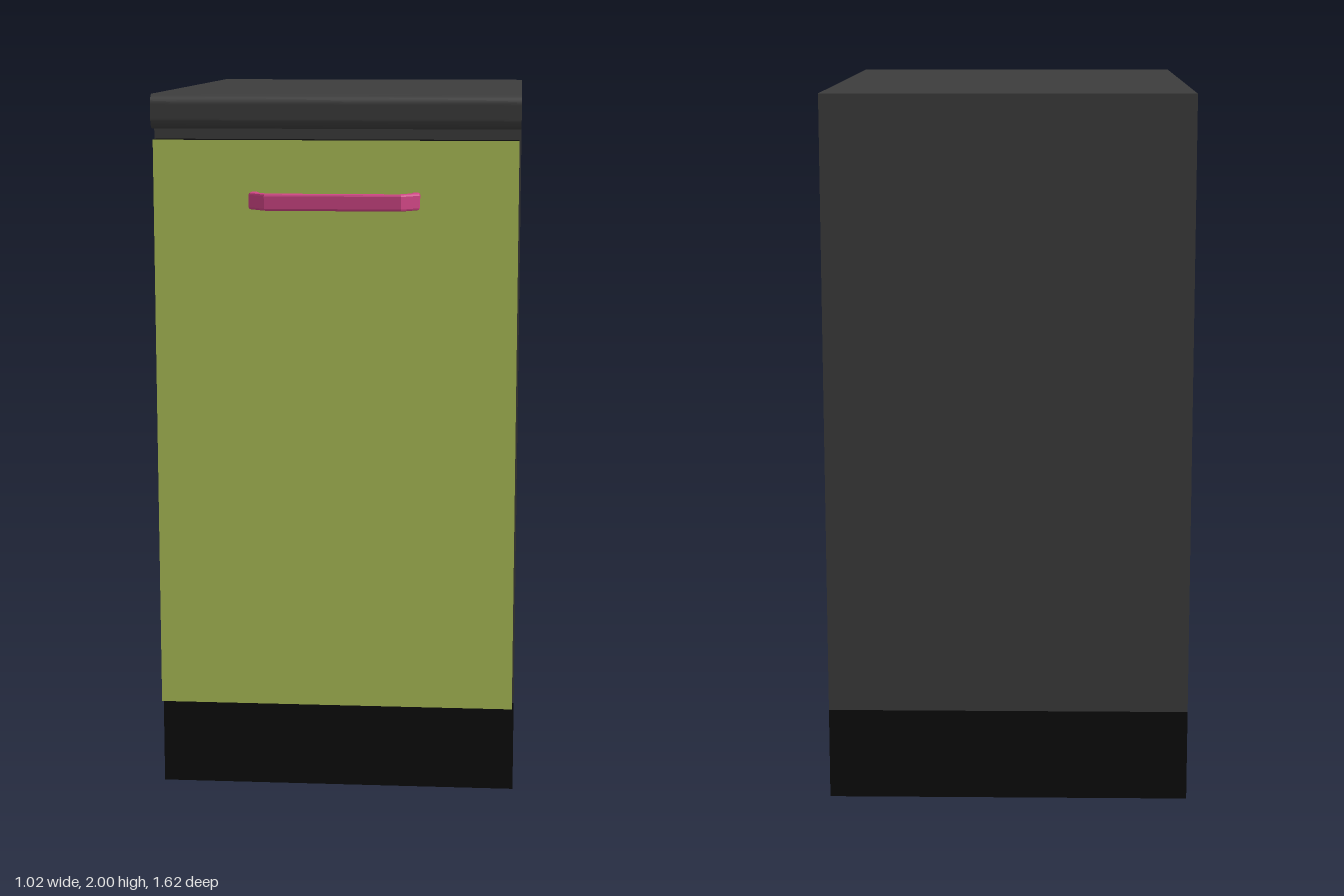
import * as THREE from 'three';

const paint = (color) => new THREE.MeshStandardMaterial({ color });
const GREY = paint(0x3d3d3d), BLACK = paint(0x0c0c0c), GREEN = paint(0xb0c358), PINK = paint(0xd04585);

const WIDTH = 1.02, BACK = -0.81, FRONT = 0.664;

export function createModel() {
  const model = new THREE.Group();
  const add = (name, geometry, material) => {
    const mesh = new THREE.Mesh(geometry, material);
    mesh.name = name;
    model.add(mesh);
  };
  // Box given by its width and its y and z limits, centred on x
  const box = (w, y0, y1, z0, z1) =>
    new THREE.BoxGeometry(w, y1 - y0, z1 - z0).translate(0, (y0 + y1) / 2, (z0 + z1) / 2);

  add('plinth', box(WIDTH, 0, 0.26, BACK, FRONT), BLACK);
  add('carcass', box(WIDTH, 0.26, 1.905, BACK, FRONT), GREY);

  // Worktop: side profile (z, y) with a rounded front lip, extruded across x
  const r = 0.028, lip = 0.727, low = 1.905;
  const profile = new THREE.Shape();
  profile.moveTo(BACK, low);
  profile.lineTo(lip - r, low);
  profile.absarc(lip - r, low + r, r, -Math.PI / 2, 0, false);
  profile.absarc(lip - r, 2 - r, r, 0, Math.PI / 2, false);
  profile.lineTo(BACK, 2);
  const worktop = new THREE.ExtrudeGeometry(profile, { depth: WIDTH, bevelEnabled: false, curveSegments: 8 });
  worktop.rotateY(-Math.PI / 2).translate(WIDTH / 2, 0, 0);
  add('worktop', worktop, GREY);

  // Door: dark panel whose front face (+z, slot 4) is coloured
  add('door', box(1.01, 0.26, 1.875, 0.669, 0.722), [BLACK, BLACK, BLACK, BLACK, GREEN, BLACK]);

  // Handle: flat strap with cut corners, outlined in (x, z) and extruded in y
  const half = [[0.235, 0.72], [0.235, 0.762], [0.187, 0.81]];
  const inner = [[0.178, 0.786], [0.211, 0.753], [0.211, 0.72]];
  const mirror = (points) => points.map(([x, z]) => [-x, z]).reverse();
  const outline = [...half, ...mirror(half), ...mirror(inner), ...inner];
  const strap = new THREE.Shape(outline.map(([x, z]) => new THREE.Vector2(x, z)));
  const handle = new THREE.ExtrudeGeometry(strap, {
    depth: 0.034, bevelThickness: 0.006, bevelSize: 0.006, bevelOffset: -0.006, bevelSegments: 2,
  });
  handle.rotateX(Math.PI / 2).translate(0, 1.728, 0);
  add('handle', handle, PINK);

  return model;
}
